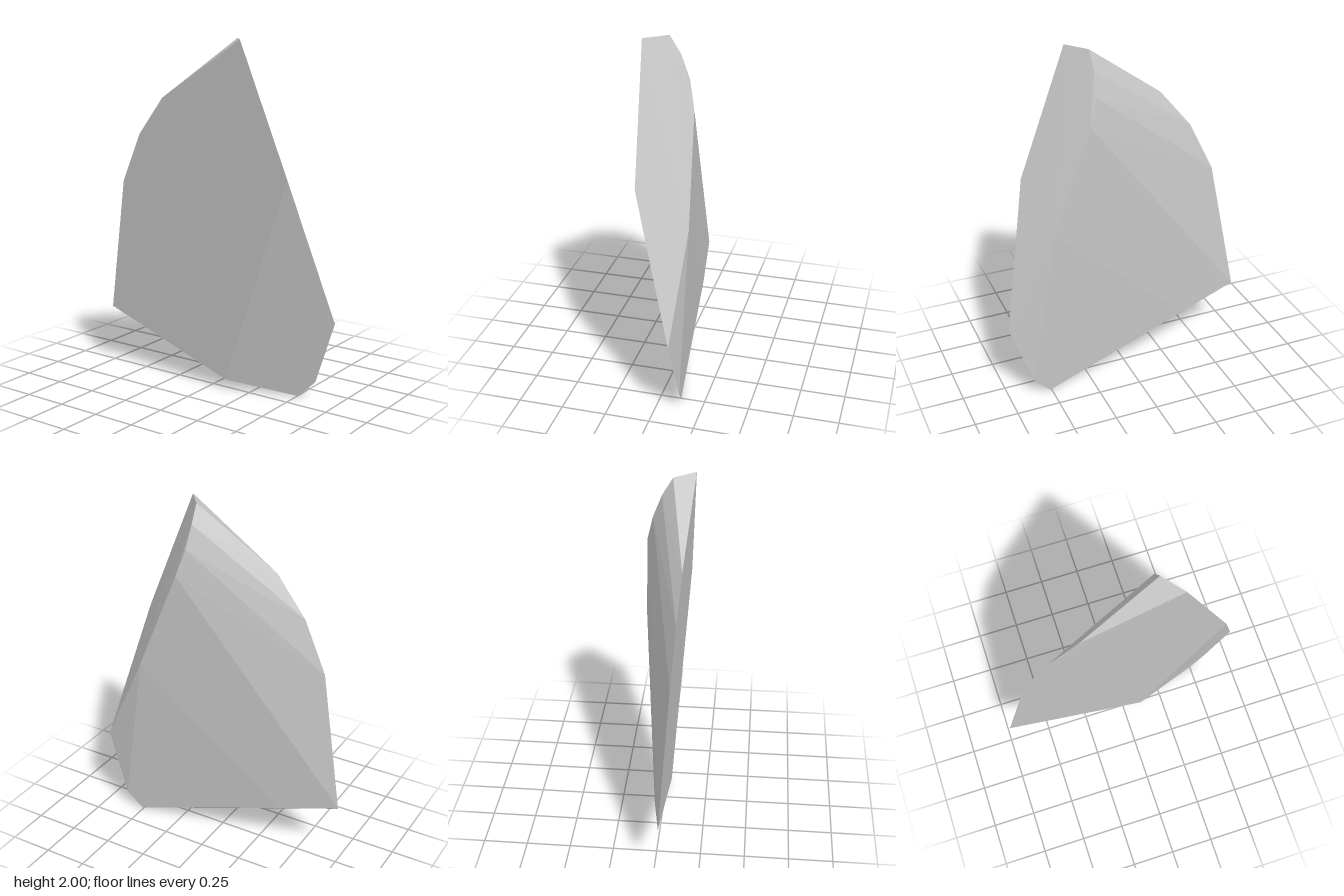
import * as THREE from 'three';
import { ConvexGeometry } from 'three/addons/geometries/ConvexGeometry.js';

// Rounded upper edge of the front facet, from the tip down
const frontEdge = [
  [-0.03, 2, 0.18], [0.03, 1.9, 0.175], [0.08, 1.77, 0.185], [0.115, 1.62, 0.23],
];
// Matching bevel along the back, from the tip down to the rear corner
const backEdge = [
  [-0.115, 1.66, -0.27], [-0.1, 1.44, -0.45], [-0.08, 1.15, -0.59], [-0.03, 0.35, -0.735],
];
// Remaining corners of the front facet
const frontCorners = [
  [-0.15, 2, 0.275], [-0.115, 1.28, 0.555], [0.107, 0.47, 0.735], [0.147, 1.04, 0.46],
];
// Foot of the shard, with a slight ridge along its underside
const footCorners = [
  [0.132, 0.1, 0.605], [0.117, 0, 0.51], [-0.035, 0.06, 0.11], [0.022, 0.26, -0.38],
];

export function createModel() {
  const group = new THREE.Group();
  group.name = 'stoneShard';

  const stone = new THREE.MeshStandardMaterial({ color: 0xc6c6c6 });
  stone.name = 'stoneGrey';

  // One convex, flat-faceted chip of stone
  const points = [...frontEdge, ...backEdge, ...frontCorners, ...footCorners]
    .map((p) => new THREE.Vector3(...p));
  const shard = new THREE.Mesh(new ConvexGeometry(points), stone);
  shard.name = 'shard';
  group.add(shard);

  return group;
}
